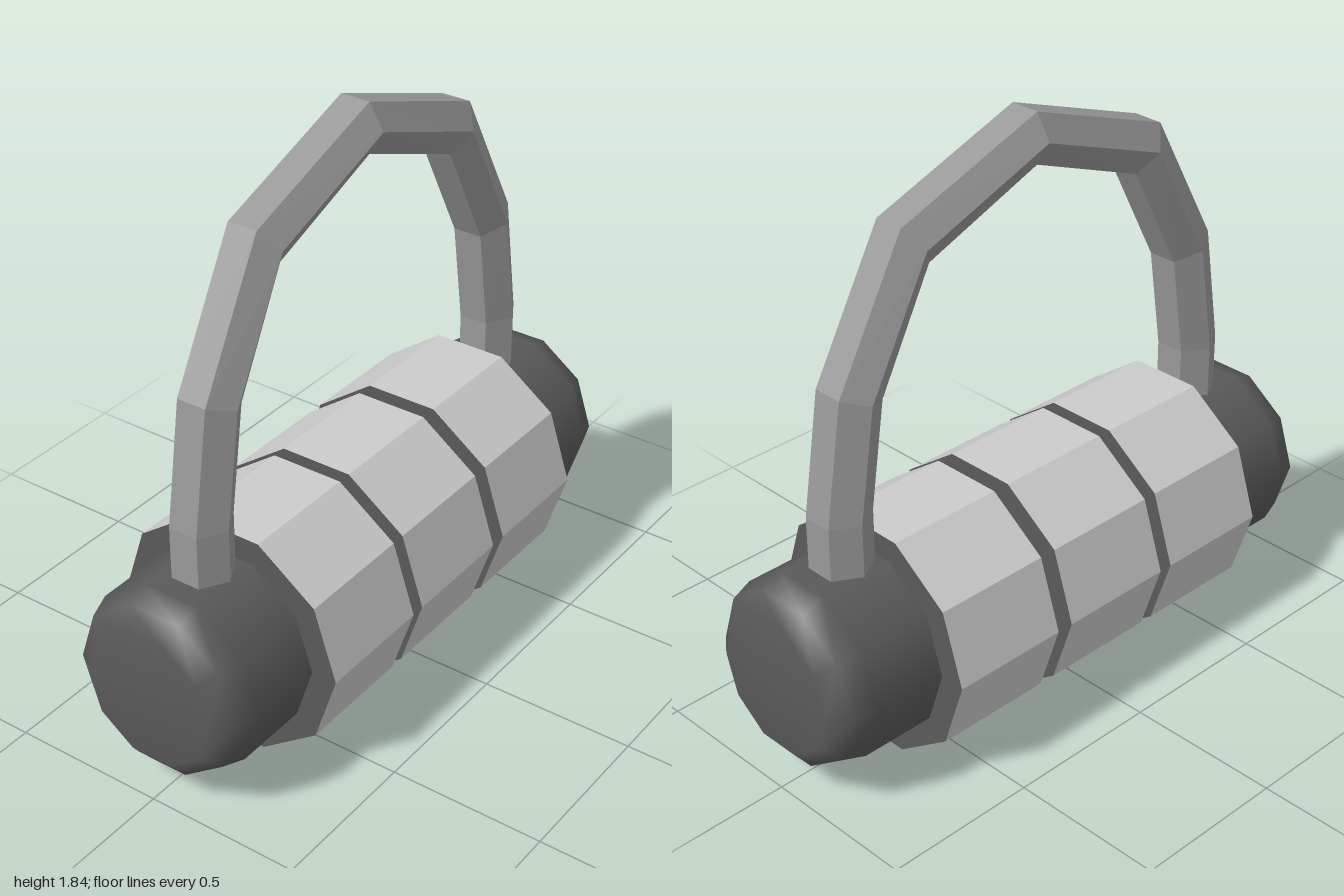
import * as THREE from 'three';

const AXIS_Y = 0.37;
const material = (color, flat) => new THREE.MeshStandardMaterial({ color, flatShading: flat });

// Hexagonal bar swept along an arch given by its outer and inner outlines
function archGeometry(outer, inner, halfDepth) {
  const rings = outer.map(([ox, oy], i) => {
    const [ix, iy] = inner[i];
    return Array.from({ length: 6 }, (_, k) => {
      const a = (k + 0.5) * Math.PI / 3;
      const t = 0.5 + 0.5 * Math.cos(a) / Math.cos(Math.PI / 6);
      return [ix + (ox - ix) * t, iy + (oy - iy) * t, halfDepth * Math.sin(a)];
    });
  });
  const pos = [];
  for (let i = 0; i < rings.length - 1; i++) {
    for (let k = 0; k < 6; k++) {
      const n = (k + 1) % 6;
      const a = rings[i][k], b = rings[i][n], c = rings[i + 1][k], d = rings[i + 1][n];
      pos.push(...a, ...c, ...b, ...b, ...c, ...d);
    }
  }
  const geometry = new THREE.BufferGeometry();
  geometry.setAttribute('position', new THREE.Float32BufferAttribute(pos, 3));
  geometry.computeVertexNormals();
  return geometry;
}

// Continue a half outline (base to apex) down the other side
const mirrored = (half) => [...half, ...half.slice(0, -1).reverse().map(([x, y]) => [-x, y])];

export function createModel() {
  const model = new THREE.Group();
  const dark = material(0x5a5a5a, false);
  const light = material(0xcccccc, true);
  const mid = material(0x999999, true);

  // Lock body: ten-sided barrel with rounded ends, lying along x
  const end = [[0.305, 0.88], [0.28, 0.955], [0.22, 1], [0, 1]];
  const profile = [...end.map(([r, h]) => [r, -h]).reverse(), ...end]
    .map(([r, h]) => new THREE.Vector2(r, h));
  const body = new THREE.Mesh(new THREE.LatheGeometry(profile, 10), dark);
  body.name = 'body';
  body.rotation.z = Math.PI / 2;
  body.position.y = AXIS_Y;
  model.add(body);

  // Number dials: light rims with dark end faces
  const dials = new THREE.Group();
  dials.name = 'dials';
  const dialGeometry = new THREE.CylinderGeometry(0.388, 0.388, 0.39, 10);
  [-0.44, -0.005, 0.44].forEach((x, i) => {
    const dial = new THREE.Mesh(dialGeometry, [light, dark, dark]);
    dial.name = `dial${i + 1}`;
    dial.rotation.z = Math.PI / 2;
    dial.position.set(x, AXIS_Y, 0);
    dials.add(dial);
  });
  model.add(dials);

  // Shackle: angular arch rooted in the body
  const outer = mirrored([[0.815, 0.62], [0.815, 0.83], [0.755, 1.22], [0.515, 1.655], [0, 1.84]]);
  const inner = mirrored([[0.65, 0.62], [0.65, 0.83], [0.6, 1.165], [0.415, 1.52], [0, 1.68]]);
  const shackle = new THREE.Mesh(archGeometry(outer, inner, 0.097), mid);
  shackle.name = 'shackle';
  model.add(shackle);

  return model;
}
